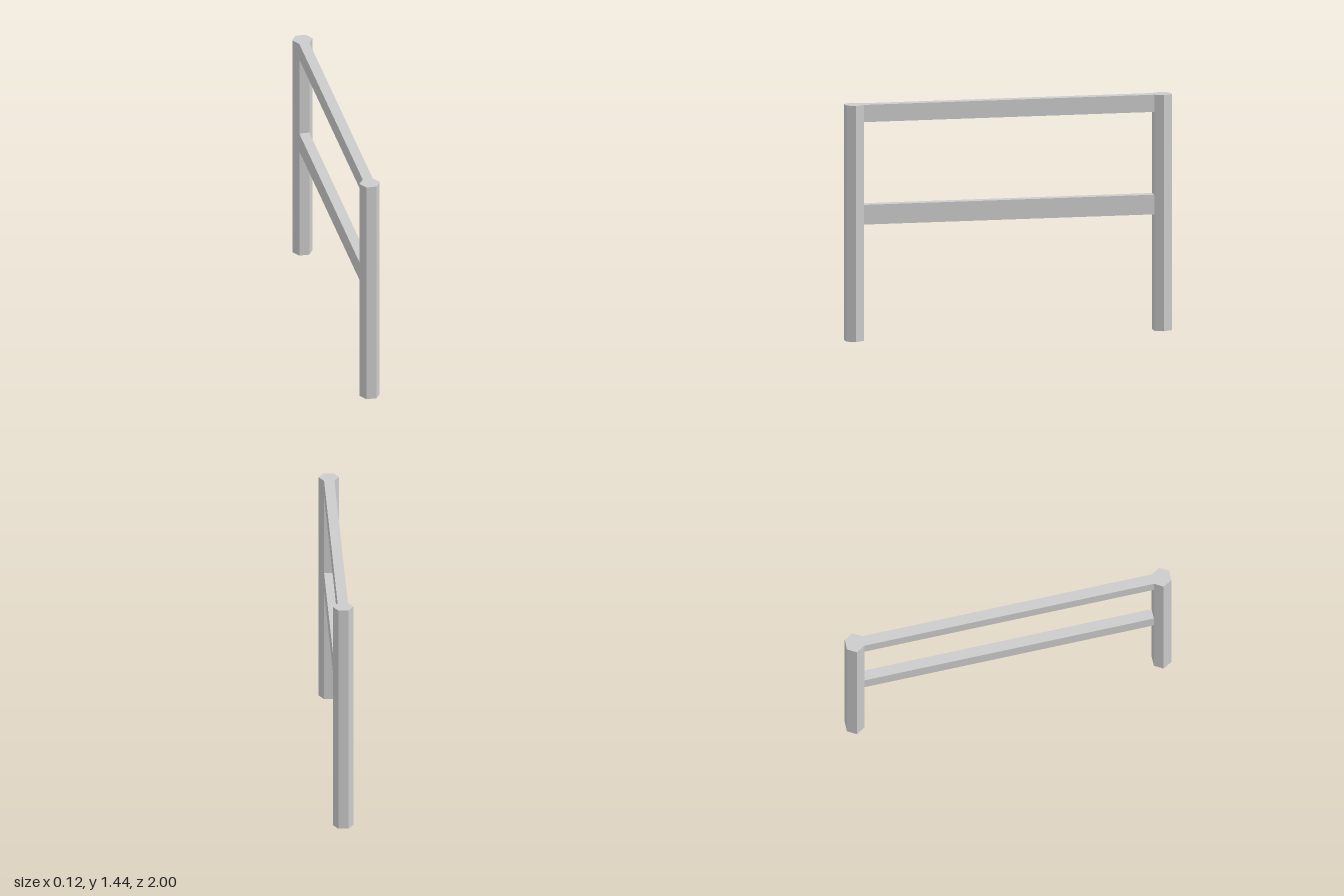
import * as THREE from 'three';

const HEIGHT = 1.44;
const RADIUS = 0.062;                            // corner radius of the hexagonal posts
const APOTHEM = RADIUS * Math.cos(Math.PI / 6);  // centre to flat side

export function createModel() {
  const group = new THREE.Group();
  group.name = 'railing';
  const material = new THREE.MeshStandardMaterial({ color: 0xcccccc, flatShading: true });

  const add = (name, geometry, y, z) => {
    const mesh = new THREE.Mesh(geometry, material);
    mesh.name = name;
    mesh.position.set(0, y, z);
    group.add(mesh);
  };

  // Hexagonal posts, corners pointing along x and flats facing the rails
  const post = new THREE.CylinderGeometry(RADIUS, RADIUS, HEIGHT, 6, 1, false, Math.PI / 2);
  add('frontPost', post, HEIGHT / 2, 1 - APOTHEM);
  add('backPost', post, HEIGHT / 2, -1 + APOTHEM);

  // Rails between the posts, as wide as one flat side
  const addRail = (name, bottom, top) => {
    const rail = new THREE.BoxGeometry(RADIUS, top - bottom, 2 - 4 * APOTHEM);
    add(name, rail, (top + bottom) / 2, 0);
  };
  addRail('topRail', 1.335, HEIGHT);
  addRail('middleRail', 0.71, 0.83);

  return group;
}
